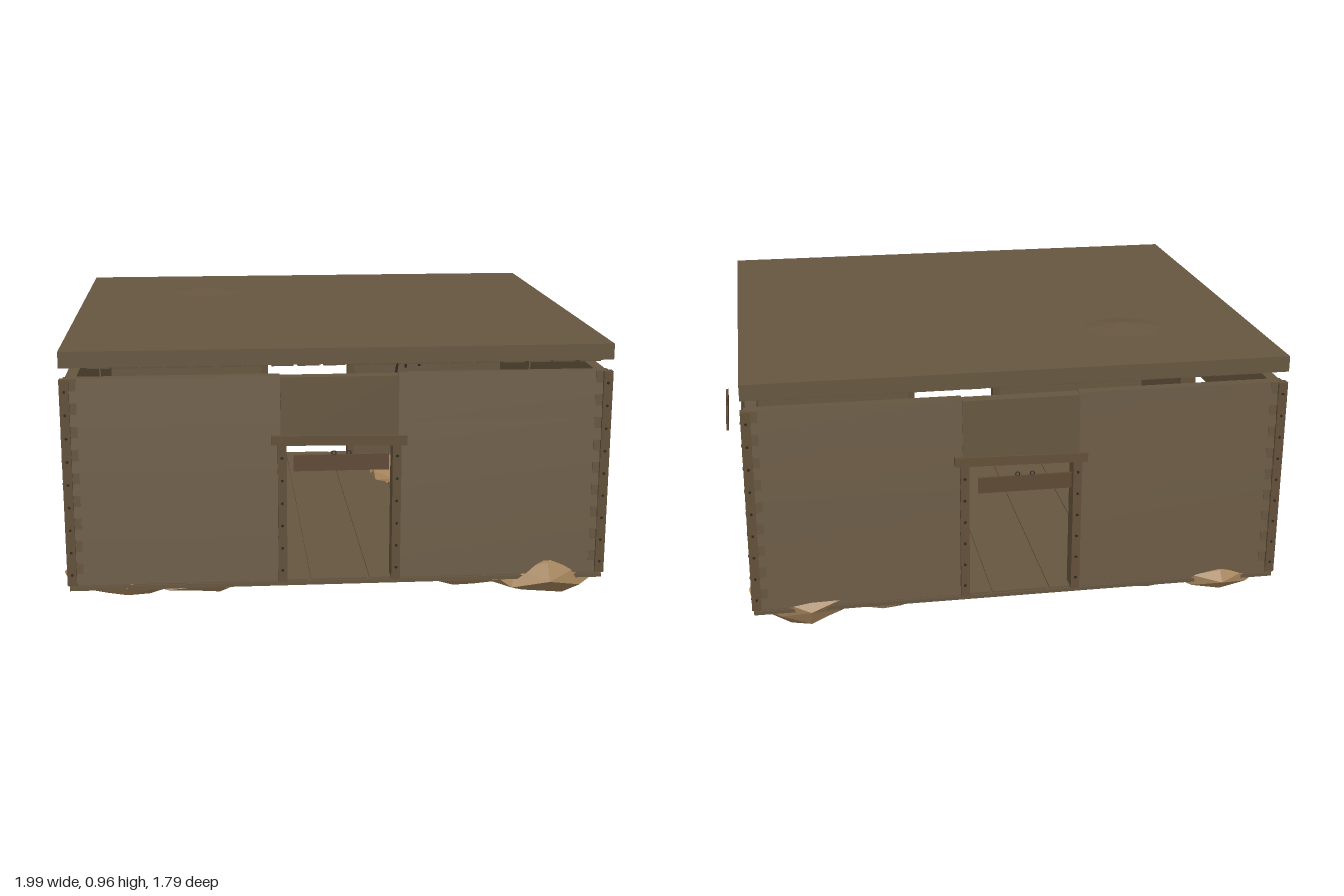
import * as THREE from 'three';

const mat = (name, color) => {
  const m = new THREE.MeshStandardMaterial({ color });
  m.name = name;
  return m;
};

export function createModel() {
  const root = new THREE.Group();
  root.name = 'plankHut';
  const wood = mat('weatheredWood', 0x665640);
  const trim = mat('trimWood', 0x625039);
  const signWood = mat('signWood', 0x5f4936);
  const iron = mat('darkIron', 0x2c2825);
  const stone = mat('tanStone', 0xa3825a);
  stone.flatShading = true;

  const add = (parent, name, geo, material, x = 0, y = 0, z = 0) => {
    const m = new THREE.Mesh(geo, material);
    m.name = name;
    m.position.set(x, y, z);
    parent.add(m);
    return m;
  };
  const box = (parent, name, material, w, h, d, x, y, z) =>
    add(parent, name, new THREE.BoxGeometry(w, h, d), material, x, y, z);

  // Overlapping siding: a sawtooth section, extruded along the wall
  const siding = (len) => {
    const rows = 9, y0 = 0.12, step = 0.72 / rows;
    const s = new THREE.Shape();
    s.moveTo(-0.05, y0);
    for (let i = 0; i < rows; i++) {
      s.lineTo(0, y0 + i * step);
      s.lineTo(-0.012, y0 + (i + 1) * step);
    }
    s.lineTo(-0.05, y0 + 0.72);
    const g = new THREE.ExtrudeGeometry(s, { depth: len, bevelEnabled: false });
    return g.rotateY(-Math.PI / 2);
  };

  // One wall with doorway, trim, nails and hanging sign; outside is local +z
  const wall = (name, half, dist, turn) => {
    const g = new THREE.Group();
    g.name = name;
    g.rotation.y = turn;
    root.add(g);
    const len = half - 0.01 - 0.2;
    add(g, 'siding', siding(len), wood, half - 0.01, 0, dist - 0.004);
    add(g, 'siding', siding(len), wood, -0.2, 0, dist - 0.004);
    box(g, 'panelAboveDoor', wood, 0.4, 0.237, 0.046, 0, 0.7185, dist - 0.025);
    const lintel = box(g, 'lintel', trim, 0.46, 0.032, 0.02, 0, 0.617, dist - 0.004);
    lintel.rotation.z = -0.02;
    const nail = new THREE.CylinderGeometry(0.005, 0.005, 0.004, 6).rotateX(Math.PI / 2);
    for (const s of [-1, 1]) {
      box(g, 'doorJamb', trim, 0.03, 0.49, 0.064, s * 0.195, 0.362, dist - 0.026);
      box(g, 'cornerBoard', trim, 0.03, 0.72, 0.02, s * (half - 0.016), 0.48, dist - 0.009);
      for (let i = 0; i < 9; i++) {
        const y = 0.16 + i * 0.08;
        add(g, 'nail', nail, iron, s * (half - 0.016), y, dist + 0.001);
        if (i < 6) add(g, 'nail', nail, iron, s * 0.196, y, dist + 0.007);
      }
    }
    // Sign board with two small eyelets
    box(g, 'sign', signWood, 0.32, 0.055, 0.008, 0, 0.558, dist + 0.061);
    for (const s of [-1, 1]) {
      add(g, 'signEyelet', new THREE.TorusGeometry(0.007, 0.002, 5, 10), iron, s * 0.025, 0.591, dist + 0.061);
    }
  };
  wall('frontWall', 0.93, 0.83, 0);
  wall('backWall', 0.93, 0.83, Math.PI);
  wall('leftWall', 0.83, 0.93, Math.PI / 2);
  wall('rightWall', 0.83, 0.93, -Math.PI / 2);

  // Floor slab and its boards
  box(root, 'floor', wood, 1.85, 0.014, 1.65, 0, 0.107, 0);
  for (let i = 0; i < 9; i++) {
    box(root, 'floorBoard', wood, 0.194, 0.006, 1.64, -0.816 + i * 0.204, 0.117, 0);
  }

  // Roof slab and ceiling boards under it
  box(root, 'roof', wood, 1.86, 0.055, 1.66, 0, 0.908, 0);
  for (let i = 0; i < 20; i++) {
    box(root, 'ceilingBoard', trim, 0.074, 0.008, 1.62, -0.8 + i * 0.087, 0.876, 0);
  }

  // Faceted dome pushing up through the roof
  const dome = [[0, 0.78], [0.18, 0.8], [0.225, 0.84], [0.23, 0.875], [0.15, 0.935], [0, 0.955]]
    .map(([r, y]) => new THREE.Vector2(r, y));
  const domeWood = mat('domeWood', 0x665640);
  domeWood.flatShading = true;
  const d = add(root, 'roofDome', new THREE.LatheGeometry(dome, 8), domeWood, -0.45, 0, -0.4);
  d.scale.z = 0.85;

  // Hooks hanging under the ceiling
  [[0.31, 0.02], [0.35, -0.07], [0.4, -0.1], [0.44, -0.14]].forEach(([x, z], i) => {
    const hook = add(root, 'ceilingHook', new THREE.CylinderGeometry(0.005, 0.005, 0.2, 6), iron, x, 0.77, z);
    hook.rotation.z = (i - 1.5) * 0.1;
  });

  // Faceted boulders, roughened by a rule so that shared corners stay joined
  const boulder = (name, seed, x, y, z, rx, ry, rz) => {
    const geo = new THREE.IcosahedronGeometry(1, 1);
    const p = geo.attributes.position;
    const v = new THREE.Vector3();
    for (let i = 0; i < p.count; i++) {
      v.fromBufferAttribute(p, i);
      const k = 0.92 + 0.09 * Math.sin(v.x * 5.1 + seed) * Math.cos(v.y * 4.3 + v.z * 3.7 + seed * 2);
      p.setXYZ(i, v.x * k * rx, v.y * k * ry, v.z * k * rz);
    }
    geo.computeVertexNormals();
    add(root, name, geo, stone, x, y, z);
  };
  // Each corner: sign of x, sign of z, depth below the floor, reach in x and z
  [[1, 1, 0.12, 0.25, 0.24], [-1, 1, 0.08, 0.25, 0.2],
    [-1, -1, 0.08, 0.22, 0.24], [1, -1, 0.12, 0.23, 0.22]].forEach(([sx, sz, deep, rx, rz], i) => {
    boulder('cornerStone', i + 1, sx * 0.73, 0.105, sz * 0.64, rx, deep * 0.9, rz);
    boulder('footingStone', i + 6, sx * 0.48, 0.095, sz * 0.67, 0.22, 0.055, 0.14);
    boulder('footingStone', i + 11, sx * 0.77, 0.095, sz * 0.42, 0.14, 0.055, 0.19);
  });
  // Low stone mounds inside
  boulder('innerStone', 3, 0.42, 0.12, -0.45, 0.2, 0.06, 0.2);
  boulder('innerStone', 8, -0.5, 0.12, 0.45, 0.18, 0.06, 0.18);
  return root;
}
